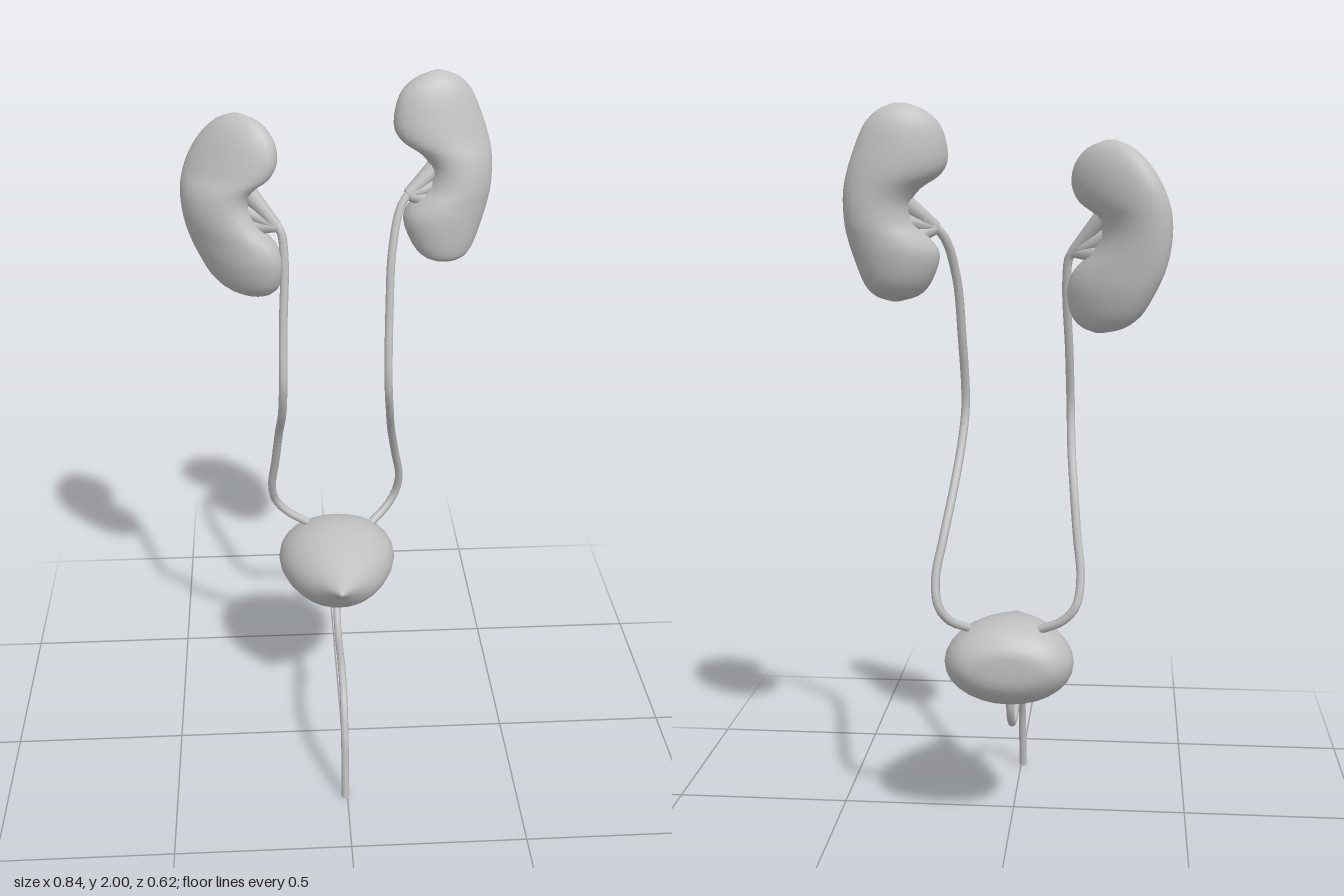
import * as THREE from 'three';

const tissue = new THREE.MeshStandardMaterial({ color: 0xc0c0c0 });
tissue.name = 'tissue grey';

const SIDES = 28;

// Smoothly resample rows of cross-section values
function refine(rows, steps) {
  const size = rows[0].length;
  const curve = new THREE.CubicInterpolant(rows.map((_, i) => i), rows.flat(), size, new Float32Array(size));
  const out = [];
  const n = (rows.length - 1) * steps;
  for (let i = 0; i <= n; i++) out.push(Array.from(curve.evaluate(i / steps)));
  return out;
}

// Skin a list of rows; place(row, cos, sin) gives a point on the ring
function loft(rows, place) {
  const pos = [], index = [];
  const last = rows.length - 1;
  for (const row of rows) {
    for (let j = 0; j < SIDES; j++) {
      const t = (j / SIDES) * Math.PI * 2;
      pos.push(...place(row, Math.cos(t), Math.sin(t)));
    }
  }
  for (let i = 0; i < last; i++) {
    for (let j = 0; j < SIDES; j++) {
      const k = (j + 1) % SIDES;
      const a = i * SIDES + j, b = i * SIDES + k, c = a + SIDES, d = b + SIDES;
      index.push(a, b, d, a, d, c);
    }
  }
  // end caps
  const start = pos.length / 3;
  pos.push(...place(rows[0], 0, 0), ...place(rows[last], 0, 0));
  for (let j = 0; j < SIDES; j++) {
    const k = (j + 1) % SIDES;
    index.push(start, k, j, start + 1, last * SIDES + j, last * SIDES + k);
  }
  const g = new THREE.BufferGeometry();
  g.setAttribute('position', new THREE.Float32BufferAttribute(pos, 3));
  g.setIndex(index);
  g.computeVertexNormals();
  return g;
}

function part(name, geometry) {
  const mesh = new THREE.Mesh(geometry, tissue);
  mesh.name = name;
  return mesh;
}

// Rows are [y, inner x, outer x, centre z, half depth]; skew slants the section in z
function kidney(name, rows, skew) {
  return part(name, loft(refine(rows, 3), ([y, x0, x1, z, d], c, s) => {
    const dx = (Math.abs(x1 - x0) / 2) * c;
    return [(x0 + x1) / 2 + dx, y, z + skew * dx - d * s];
  }));
}

function tube(name, points, radius) {
  const path = new THREE.CatmullRomCurve3(points.map(p => new THREE.Vector3(...p)));
  return part(name, new THREE.TubeGeometry(path, 60, radius, 8));
}

// Tapered branch between two points
function branch(name, from, to, r0, r1) {
  const a = new THREE.Vector3(...from), b = new THREE.Vector3(...to);
  const dir = b.clone().sub(a);
  const mesh = part(name, new THREE.CylinderGeometry(r1, r0, dir.length(), 10));
  mesh.position.copy(a).add(b).multiplyScalar(0.5);
  mesh.quaternion.setFromUnitVectors(new THREE.Vector3(0, 1, 0), dir.normalize());
  return mesh;
}

export function createModel() {
  const model = new THREE.Group();
  model.name = 'urinarySystem';

  // Kidneys, with a notch on the inner side
  model.add(kidney('leftKidney', [
    [1.50, 0.285, 0.305, -0.165, 0.008],
    [1.515, 0.235, 0.345, -0.17, 0.042],
    [1.55, 0.20, 0.372, -0.185, 0.068],
    [1.62, 0.175, 0.396, -0.195, 0.082],
    [1.665, 0.20, 0.408, -0.202, 0.082],
    [1.70, 0.238, 0.414, -0.208, 0.08],
    [1.75, 0.248, 0.416, -0.214, 0.076],
    [1.79, 0.22, 0.413, -0.218, 0.073],
    [1.825, 0.168, 0.405, -0.222, 0.07],
    [1.87, 0.148, 0.39, -0.226, 0.064],
    [1.94, 0.162, 0.36, -0.232, 0.05],
    [1.98, 0.20, 0.325, -0.235, 0.031],
    [2.0, 0.25, 0.28, -0.235, 0.006],
  ], -0.12));
  model.add(kidney('rightKidney', [
    [1.42, -0.225, -0.245, -0.145, 0.008],
    [1.435, -0.185, -0.30, -0.146, 0.04],
    [1.47, -0.158, -0.345, -0.147, 0.064],
    [1.53, -0.15, -0.38, -0.15, 0.08],
    [1.58, -0.168, -0.402, -0.156, 0.082],
    [1.63, -0.215, -0.415, -0.165, 0.082],
    [1.68, -0.238, -0.42, -0.172, 0.08],
    [1.72, -0.225, -0.418, -0.175, 0.077],
    [1.755, -0.18, -0.41, -0.176, 0.072],
    [1.80, -0.16, -0.392, -0.178, 0.066],
    [1.85, -0.168, -0.36, -0.18, 0.054],
    [1.89, -0.20, -0.318, -0.182, 0.033],
    [1.91, -0.248, -0.275, -0.183, 0.006],
  ], 0.42));

  // Bladder: rows are [z, half width, top y, bottom y], back to tip
  model.add(part('bladder', loft(refine([
    [-0.31, 0.06, 0.57, 0.51],
    [-0.30, 0.115, 0.598, 0.475],
    [-0.265, 0.158, 0.634, 0.432],
    [-0.21, 0.176, 0.646, 0.407],
    [-0.15, 0.169, 0.644, 0.405],
    [-0.08, 0.14, 0.628, 0.422],
    [-0.02, 0.10, 0.61, 0.456],
    [0.04, 0.043, 0.592, 0.525],
    [0.07, 0.017, 0.583, 0.555],
    [0.085, 0.004, 0.577, 0.568],
  ], 3), ([z, w, top, bottom], c, s) =>
    [-0.004 + w * c, (top + bottom) / 2 + ((top - bottom) / 2) * s, z])));

  // Ureters from each kidney down to the bladder
  model.add(tube('leftUreter', [
    [0.22, 1.715, -0.19], [0.17, 1.67, -0.155], [0.142, 1.56, -0.11], [0.133, 1.4, -0.07],
    [0.13, 1.2, -0.025], [0.138, 1.1, -0.06], [0.15, 1.0, -0.135], [0.17, 0.88, -0.21],
    [0.188, 0.77, -0.255], [0.178, 0.70, -0.272], [0.15, 0.658, -0.258], [0.105, 0.628, -0.222],
  ], 0.012));
  model.add(tube('rightUreter', [
    [-0.19, 1.645, -0.125], [-0.158, 1.62, -0.11], [-0.148, 1.55, -0.095], [-0.155, 1.36, -0.055],
    [-0.159, 1.2, -0.022], [-0.163, 1.1, -0.055], [-0.173, 1.0, -0.125], [-0.185, 0.88, -0.175],
    [-0.197, 0.77, -0.215], [-0.185, 0.70, -0.243], [-0.15, 0.66, -0.243], [-0.09, 0.63, -0.228],
  ], 0.012));

  // Renal pelvis: branches that join at the top of each ureter
  for (const [side, root, tips] of [
    ['left', [0.185, 1.69, -0.165], [[0.27, 1.76, -0.205], [0.27, 1.71, -0.2], [0.25, 1.665, -0.19]]],
    ['right', [-0.165, 1.627, -0.112], [[-0.245, 1.72, -0.14], [-0.26, 1.67, -0.14], [-0.235, 1.625, -0.13]]],
  ]) {
    const pelvis = new THREE.Group();
    pelvis.name = side + 'RenalPelvis';
    for (const tip of tips) pelvis.add(branch('pelvisBranch', root, tip, 0.015, 0.026));
    model.add(pelvis);
  }

  // Urethra under the bladder, closed at its lower end
  const x = -0.006;
  model.add(tube('urethra', [
    [x, 0.43, -0.19], [x, 0.385, -0.188], [x, 0.345, -0.165], [x, 0.315, -0.12], [x, 0.306, -0.06],
    [x, 0.32, 0.03], [x, 0.326, 0.12], [x, 0.29, 0.205], [x, 0.20, 0.262], [x, 0.1, 0.284], [x, 0.002, 0.3],
  ], 0.011));
  const end = part('urethraEnd', new THREE.CircleGeometry(0.011, 8));
  end.position.set(x, 0.002, 0.3);
  end.rotation.x = Math.PI / 2 - 0.16;
  model.add(end);

  return model;
}
